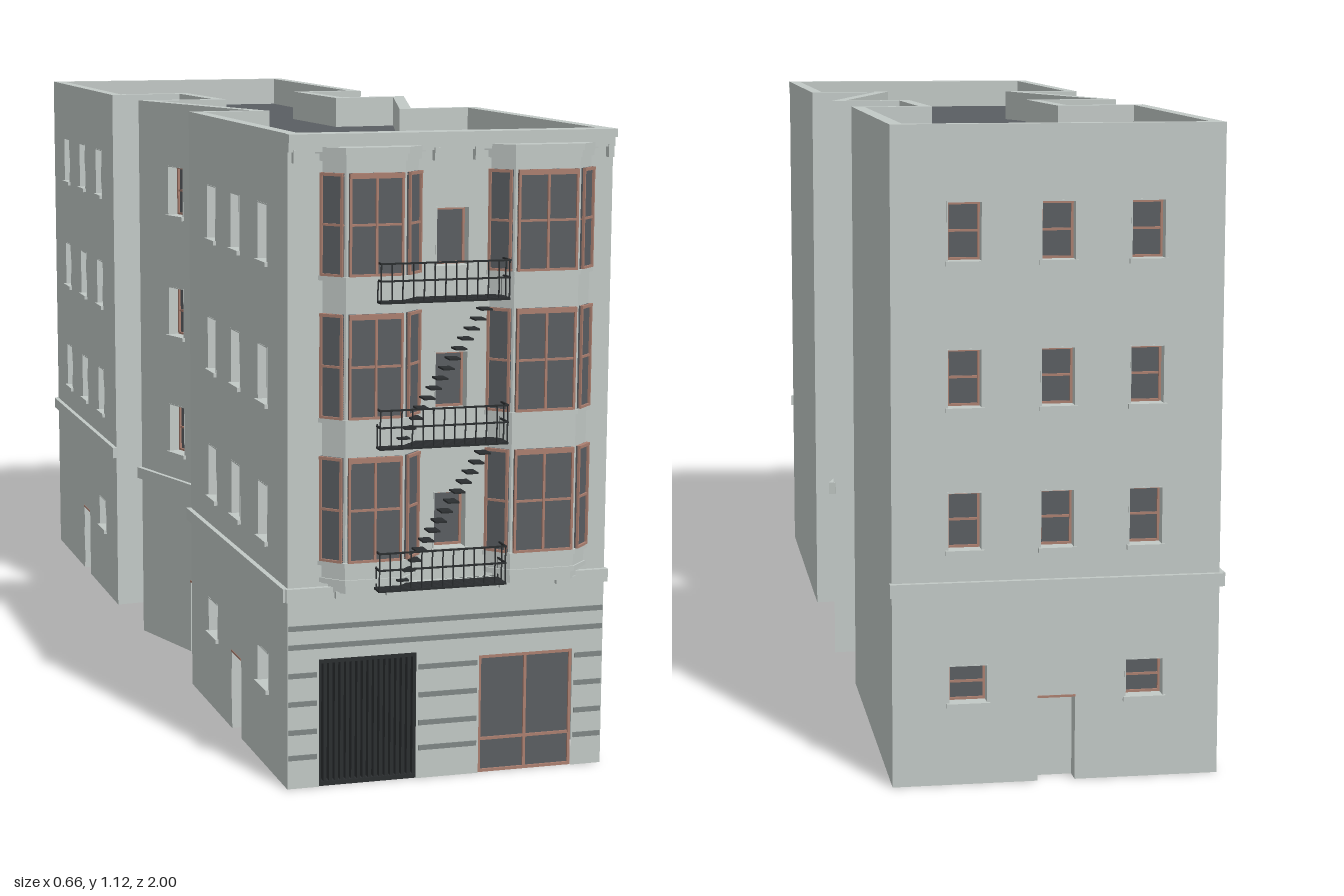
import * as THREE from 'three';

const mat = (name, color, side = THREE.FrontSide) => {
  const m = new THREE.MeshStandardMaterial({ color, side });
  m.name = name;
  return m;
};

export function createModel() {
  const stone = mat('stone', 0xc2c9c6, THREE.DoubleSide);
  const groove = mat('groove', 0x7f8785);
  const dark = mat('glass and roofing', 0x5a5e62, THREE.DoubleSide);
  const trim = mat('window trim', 0xab7f70);
  const iron = mat('iron', 0x2b2e30);

  const model = new THREE.Group();
  model.name = 'building';

  const add = (parent, name, geo, m) => {
    const mesh = new THREE.Mesh(geo, m);
    mesh.name = name;
    parent.add(mesh);
    return mesh;
  };
  // box given by its min and max corners
  const box = (parent, name, m, x0, x1, y0, y1, z0, z1) => {
    const b = add(parent, name, new THREE.BoxGeometry(x1 - x0, y1 - y0, z1 - z0), m);
    b.position.set((x0 + x1) / 2, (y0 + y1) / 2, (z0 + z1) / 2);
    return b;
  };
  // group on a plan edge a-b: local x runs along the edge, local z points outward
  const onEdge = (name, [ax, az], [bx, bz]) => {
    const g = new THREE.Group();
    g.name = name;
    g.position.set(ax, 0, az);
    g.rotation.y = Math.atan2(az - bz, bx - ax);
    model.add(g);
    return g;
  };
  const planShape = (pts) => new THREE.Shape(pts.map(([x, z]) => new THREE.Vector2(x, -z)));
  const prism = (name, m, shape, y0, y1) => {
    const geo = new THREE.ExtrudeGeometry(shape, { depth: y1 - y0, bevelEnabled: false });
    geo.rotateX(-Math.PI / 2).translate(0, y0, 0);
    return add(model, name, geo, m);
  };
  // plan polygon moved inward by d, with mitred corners
  const inset = (pts, d) => pts.map((p, i) => {
    const n = pts.length, a = pts[(i + n - 1) % n], b = pts[(i + 1) % n];
    const normal = (s, e) => new THREE.Vector2(e[1] - s[1], s[0] - e[0]).normalize();
    const n1 = normal(a, p), n2 = normal(p, b), k = d / (1 + n1.dot(n2));
    return [p[0] + (n1.x + n2.x) * k, p[1] + (n1.y + n2.y) * k];
  });
  const rectPath = (x0, x1, y0, y1, Type = THREE.Path) => new Type(
    [[x0, y0], [x1, y0], [x1, y1], [x0, y1]].map(([x, y]) => new THREE.Vector2(x, y)));

  // glazed panel with frame, evenly spaced mullions and given transom heights
  const glazing = (g, x0, x1, y0, y1, z, cols, transoms, head = 0.005, t = 0.004) => {
    box(g, 'backing', stone, x0, x1, y0, y1, z - 0.002, z);
    box(g, 'glass', dark, x0, x1, y0, y1, z, z + 0.003);
    for (let i = 0; i <= cols; i++) {
      const x = x0 + t / 2 + (x1 - x0 - t) * i / cols;
      box(g, 'mullion', trim, x - t / 2, x + t / 2, y0, y1, z, z + 0.007);
    }
    for (const y of transoms) box(g, 'transom', trim, x0, x1, y - t / 2, y + t / 2, z, z + 0.006);
    box(g, 'frameFoot', trim, x0, x1, y0, y0 + t, z, z + 0.007);
    box(g, 'frameHead', trim, x0, x1, y1 - head, y1, z, z + 0.008);
  };
  // closed leaf: pale outside, dark inside
  const leaf = (g, name, x0, x1, h, z) => {
    box(g, name, stone, x0, x1, 0, h, z - 0.003, z);
    box(g, name + 'Back', dark, x0, x1, 0, h, z - 0.007, z - 0.003);
  };

  // ---- footprint, starting at the front and going round by the left side
  const plan = [[-0.25, 0.945], [0.322, 0.945], [0.302, 0.285], [0.168, 0.297], [0.288, -0.13],
    [0.15, -0.118], [0.135, -0.352], [0.262, -0.362], [0.243, -0.993], [-0.32, -0.974],
    [-0.3, -0.33], [-0.15, -0.345], [-0.13, -0.12], [-0.287, -0.11], [-0.15, 0.29], [-0.272, 0.297]];
  const ROOF = 1.06, TOP = 1.12, rows = [0.408, 0.65, 0.895];

  // fractions along each wall for upper windows, doors and small ground windows
  const openings = {
    0: { upper: [0.502], front: true, belt: true },
    3: { upper: [0.32, 0.68], door: 0.5, belt: true },
    5: { upper: [0.48], door: 0.5 },
    8: { upper: [0.22, 0.5, 0.77], door: 0.5, small: [0.23, 0.77], belt: true },
    9: { upper: [0.23, 0.5, 0.77], door: 0.5, small: [0.77], belt: true },
    11: { upper: [0.5], door: 0.5 },
    13: { upper: [0.34, 0.7], door: 0.53, belt: true },
    15: { upper: [0.25, 0.5, 0.77], door: 0.5, small: [0.25, 0.77], belt: true },
  };

  plan.forEach((a, i) => {
    const b = plan[(i + 1) % plan.length];
    const len = Math.hypot(b[0] - a[0], b[1] - a[1]);
    const { upper = [], small = [], door, belt, front } = openings[i] || {};
    const g = onEdge(front ? 'frontWall' : 'wall', a, b);

    const windows = [];
    for (const f of upper) for (const y of rows) windows.push([f * len, 0.056, y, y + 0.097]);
    for (const f of small) windows.push([f * len, 0.064, 0.143, 0.207]);
    const gaps = [];
    if (door) gaps.push([door * len - 0.033, door * len + 0.033, 0.15]);
    if (front) gaps.push([0.056, 0.23, 0.226], [0.344, 0.516, 0.212]);

    // wall sheet, notched at the doors and pierced by windows
    const outline = [[0, 0]];
    for (const [x0, x1, h] of gaps) outline.push([x0, 0], [x0, h], [x1, h], [x1, 0]);
    outline.push([len, 0], [len, ROOF], [0, ROOF]);
    const shape = new THREE.Shape(outline.map(([x, y]) => new THREE.Vector2(x, y)));
    for (const [x, w, y0, y1] of windows) shape.holes.push(rectPath(x - w / 2, x + w / 2, y0, y1));
    add(g, 'wallFace', new THREE.ShapeGeometry(shape), stone);

    for (const [x, w, y0, y1] of windows) {
      const x0 = x - w / 2, x1 = x + w / 2;
      const ring = rectPath(x0 - 0.002, x1 + 0.002, y0 - 0.002, y1 + 0.002, THREE.Shape);
      ring.holes.push(rectPath(x0, x1, y0, y1));
      const casing = new THREE.ExtrudeGeometry(ring, { depth: 0.031, bevelEnabled: false });
      add(g, 'windowReveal', casing.translate(0, 0, -0.0305), stone);
      glazing(g, x0, x1, y0, y1, -0.028, 1, front ? [] : [(y0 + y1) / 2]);
      box(g, 'sill', stone, x0 - 0.005, x1 + 0.005, y0 - 0.008, y0, -0.012, 0.006);
    }
    if (door) {
      const [x0, x1, h] = gaps[0];
      for (const x of [x0, x1]) box(g, 'doorJamb', stone, x - 0.001, x + 0.001, 0, h, -0.036, -0.0005);
      box(g, 'doorHead', trim, x0, x1, h - 0.004, h, -0.036, 0.001);
      leaf(g, 'door', x0, x1, h, -0.03);
    }
    if (belt) box(g, 'beltCourse', stone, -0.004, len + 0.004, 0.331, 0.354, -0.004, 0.009);
  });

  // ---- roof and parapet
  const ring = planShape(plan);
  ring.holes.push(planShape(inset(plan, 0.023)));
  prism('parapet', stone, ring, ROOF, TOP);
  const roofGeo = new THREE.ShapeGeometry(planShape(inset(plan, 0.002)));
  add(model, 'roof', roofGeo.rotateX(-Math.PI / 2).translate(0, ROOF, 0), dark);

  // ---- front cornice with brackets
  const Z = 0.945;
  box(model, 'cornice', stone, -0.252, 0.323, 1.106, TOP, Z - 0.01, Z + 0.018);
  box(model, 'corniceMoulding', stone, -0.251, 0.322, 1.09, 1.106, Z - 0.005, Z + 0.01);
  for (const x of [-0.238, 0.005, 0.076, 0.314])
    box(model, 'corniceBracket', stone, x - 0.005, x + 0.005, 1.072, 1.094, Z - 0.002, Z + 0.014);

  // ---- ground floor courses
  for (const y of [0.055, 0.1, 0.15, 0.2, 0.25, 0.283]) {
    const spans = y < 0.226 ? [[-0.248, -0.198], [-0.016, 0.09], [0.27, 0.32]] : [[-0.248, 0.32]];
    for (const [x0, x1] of spans) box(model, 'stoneCourse', groove, x0, x1, y - 0.0045, y + 0.0045, Z, Z + 0.002);
  }

  // ---- barred gate and shop window
  const frontage = new THREE.Group();
  frontage.name = 'groundFloorFront';
  frontage.position.z = Z;
  model.add(frontage);
  leaf(frontage, 'gatePanel', -0.194, -0.02, 0.226, -0.022);
  for (let i = 0; i <= 17; i++) {
    const x = -0.192 + i * 0.01;
    box(frontage, 'gateBar', iron, x - 0.003, x + 0.003, 0, 0.224, -0.022, -0.004);
  }
  for (const y of [0.004, 0.222]) box(frontage, 'gateRail', iron, -0.194, -0.02, y - 0.004, y + 0.004, -0.022, -0.003);
  glazing(frontage, 0.094, 0.266, 0, 0.212, -0.01, 2, [0.06], 0.006, 0.005);

  // ---- bay windows
  for (const [x0, x1] of [[-0.194, -0.02], [0.1, 0.287]]) {
    const bay = [[x0, Z - 0.004], [x0 + 0.036, Z + 0.032], [x1 - 0.036, Z + 0.032], [x1, Z - 0.004]];
    const layer = (name, grow, y0, y1) => prism(name, stone, planShape(inset(bay, -grow)), y0, y1);
    layer('bayBody', 0, 0.36, 1.085);
    layer('bayFoot', -0.006, 0.345, 0.362);
    layer('bayBase', 0.003, 0.362, 0.37);
    layer('bayCap', 0.004, 1.075, 1.087);
    layer('bayCornice', 0.009, 1.087, 1.098);
    for (const x of [x0 + 0.042, x1 - 0.042])
      box(model, 'bayCorbel', stone, x - 0.018, x + 0.018, 0.335, 0.347, Z, Z + 0.018);
    for (const [y0, y1] of [[0.4, 0.58], [0.645, 0.822], [0.885, 1.056]]) {
      layer('baySill', 0.005, y0 - 0.008, y0);
      for (let k = 0; k < 3; k++) {
        const a = bay[k], b = bay[k + 1], len = Math.hypot(b[0] - a[0], b[1] - a[1]);
        const g = onEdge('bayWindow', a, b);
        glazing(g, 0.004, len - 0.004, y0, y1, 0, k === 1 ? 2 : 1, [(y0 + y1) / 2], k === 1 ? 0.009 : 0.005);
      }
    }
  }

  // ---- fire escape: balconies and stairs
  const X0 = -0.105, X1 = 0.122, F = 0.999;
  const levels = [0.35, 0.594, 0.84];
  levels.forEach((y, n) => {
    const g = new THREE.Group();
    g.name = 'fireEscapeBalcony';
    model.add(g);
    for (let i = 0; i < 7; i++) {
      const z = Z + 0.006 + i * 0.0075;
      box(g, 'floorSlat', iron, X0, X1, y, y + 0.004, z - 0.0025, z + 0.0025);
    }
    for (const h of [0.002, 0.038, 0.067]) {
      box(g, 'frontRail', iron, X0, X1, y + h - 0.0015, y + h + 0.0015, F - 0.003, F);
      for (const x of [X0, X1 - 0.003]) box(g, 'sideRail', iron, x, x + 0.003, y + h - 0.0015, y + h + 0.0015, Z, F);
    }
    for (let i = 0; i <= 12; i++) {
      const x = X0 + 0.0015 + (X1 - X0 - 0.003) * i / 12;
      box(g, 'baluster', iron, x - 0.001, x + 0.001, y, y + 0.067, F - 0.003, F - 0.001);
    }
    for (const x of [X0 + 0.0015, X1 - 0.0015]) for (const z of [Z + 0.015, Z + 0.033])
      box(g, 'baluster', iron, x - 0.001, x + 0.001, y, y + 0.067, z - 0.001, z + 0.001);

    // open treads climbing to the next balcony
    if (n === levels.length - 1) return;
    const rise = levels[n + 1] - y;
    for (let i = 1; i <= 14; i++) {
      const x = -0.07 + 0.165 * i / 15, ty = y + rise * i / 15;
      box(g, 'stairTread', iron, x - 0.01, x + 0.01, ty - 0.0015, ty + 0.0015, 0.962, 0.99);
    }
  });

  return model;
}
